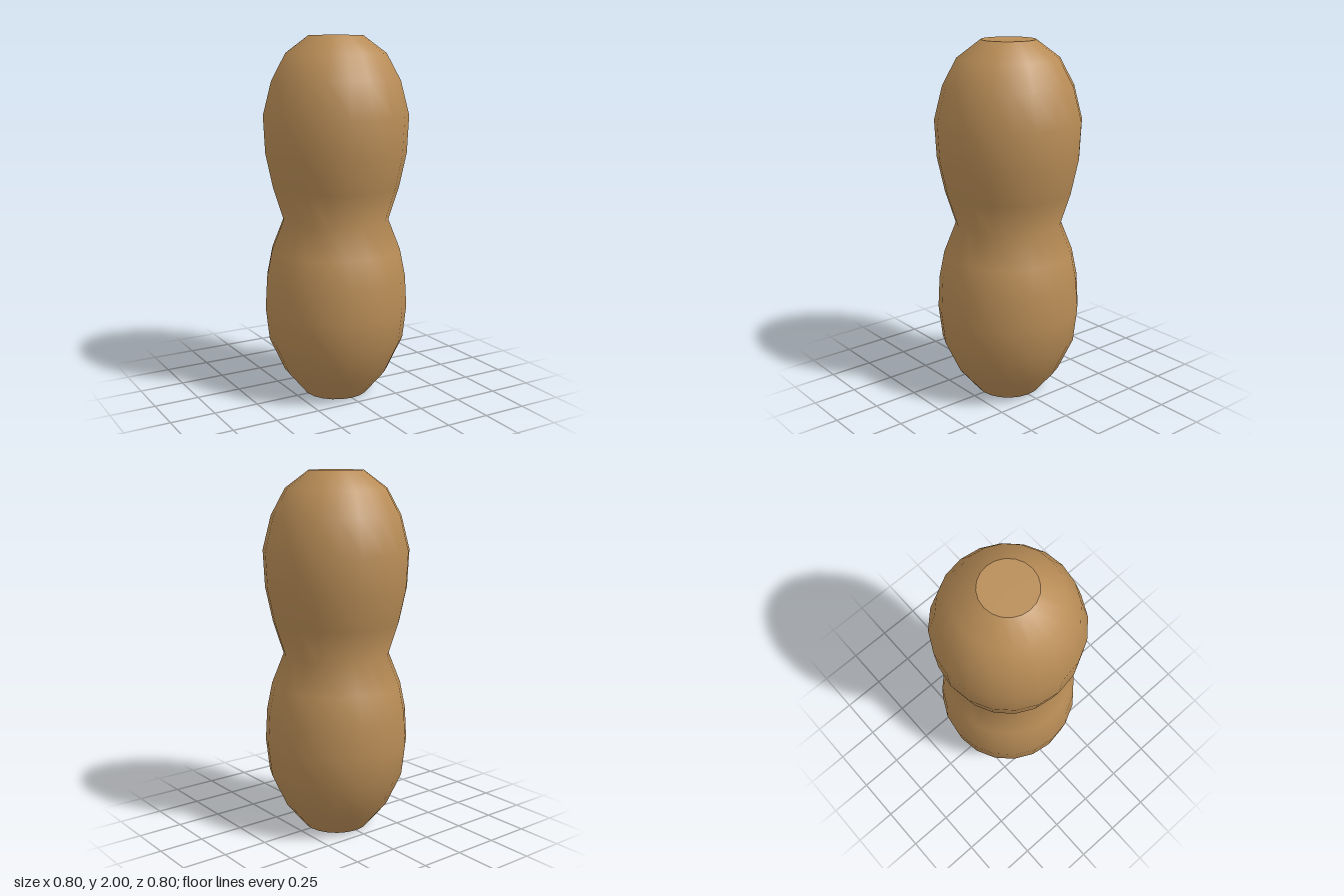
import * as THREE from 'three';

export function createModel() {
  const model = new THREE.Group();
  const tan = new THREE.MeshStandardMaterial({ color: 0xb88c56 });
  tan.name = 'tan shell';
  const sides = 20;

  // Two-lobed body: radius and height from bottom to top, pinched at the waist
  const profile = [
    [0.183, 0], [0.295, 0.135], [0.38, 0.32], [0.4, 0.5], [0.39, 0.68], [0.36, 0.83],
    [0.293, 1.0],
    [0.35, 1.18], [0.39, 1.37], [0.4, 1.575], [0.353, 1.76], [0.275, 1.905], [0.148, 2],
  ].map(([r, y]) => new THREE.Vector2(r, y));
  const body = new THREE.Mesh(new THREE.LatheGeometry(profile, sides), tan);
  body.name = 'body';
  model.add(body);

  // Flat end caps with sharp rims
  const addCap = (name, { x: radius, y }, facing) => {
    const cap = new THREE.Mesh(new THREE.CircleGeometry(radius, sides), tan);
    cap.name = name;
    cap.rotation.x = -facing * Math.PI / 2;
    cap.position.y = y;
    model.add(cap);
  };
  addCap('bottomCap', profile[0], -1);
  addCap('topCap', profile[profile.length - 1], 1);

  return model;
}
